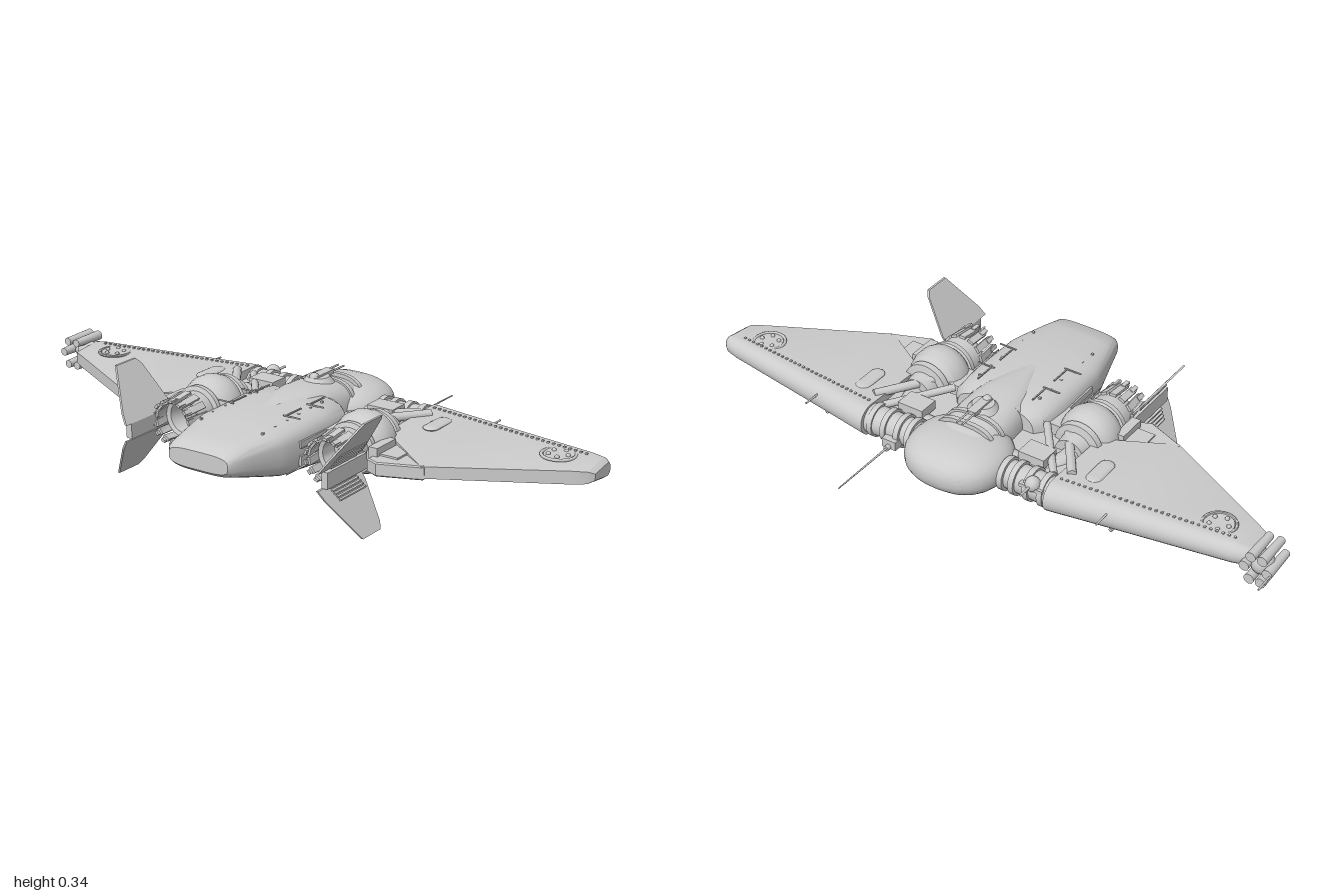
import * as THREE from 'three';
import { toCreasedNormals, mergeGeometries } from 'three/addons/utils/BufferGeometryUtils.js';

const V = (x, y, z) => new THREE.Vector3(x, y, z);
const material = new THREE.MeshStandardMaterial({ color: 0xcccccc, side: THREE.DoubleSide });

// closed skin through equal-sized rings, wound outward
function loft(rings, crease = 0.6) {
  const n = rings[0].length, pts = rings.flat(), idx = [];
  rings.slice(1).forEach((_, r) => {
    for (let i = 0; i < n; i++) {
      const a = r * n + i, b = r * n + (i + 1) % n;
      idx.push(a, b, a + n, b, b + n, a + n);
    }
  });
  [0, rings.length - 1].forEach((r, end) => {
    const c = V(0, 0, 0);
    rings[r].forEach(p => c.addScaledVector(p, 1 / n));
    pts.push(c);
    for (let i = 0; i < n; i++) {
      const a = r * n + i, b = r * n + (i + 1) % n;
      idx.push(pts.length - 1, end ? a : b, end ? b : a);
    }
  });
  let volume = 0;
  for (let i = 0; i < idx.length; i += 3) volume += pts[idx[i]].dot(V(0, 0, 0).crossVectors(pts[idx[i + 1]], pts[idx[i + 2]]));
  if (volume < 0) idx.reverse();
  const g = new THREE.BufferGeometry().setFromPoints(pts);
  g.setIndex(idx);
  return toCreasedNormals(g, crease);
}

// superellipse cross-section across z
function section([z, hw, top, bot], e = 3, n = 40) {
  const pow = v => Math.sign(v) * Math.abs(v) ** (2 / e);
  return Array.from({ length: n }, (_, i) => {
    const a = i / n * Math.PI * 2;
    return V(hw * pow(Math.cos(a)), (top + bot) / 2 + (top - bot) / 2 * pow(Math.sin(a)), z);
  });
}

// wing cross-section: round nose, flat skins, thin tail
function wingRing([x, z0, z1, h, y, t]) {
  const ring = [];
  for (let k = 0; k <= 10; k++) {
    const a = Math.PI / 2 + k * Math.PI / 10;
    ring.push(V(x, y + h * Math.sin(a), z0 + h + h * Math.cos(a)));
  }
  ring.push(V(x, y - t, z1), V(x, y + t, z1));
  return ring;
}

function rod(p, q, r, r2 = r, n = 14) {
  const a = V(...p), d = V(...q).sub(a), g = new THREE.CylinderGeometry(r2, r, d.length(), n);
  g.applyQuaternion(new THREE.Quaternion().setFromUnitVectors(V(0, 1, 0), d.clone().normalize()));
  return g.translate(...a.addScaledVector(d, 0.5).toArray());
}
const box = (w, h, d, x, y, z) => new THREE.BoxGeometry(w, h, d).translate(x, y, z);
const ball = (r, x, y, z) => new THREE.SphereGeometry(r, 20, 14).translate(x, y, z);
const latheZ = pts => toCreasedNormals(
  new THREE.LatheGeometry(pts.map(p => new THREE.Vector2(...p)), 32).rotateX(Math.PI / 2), 0.5);
const plain = g => { const f = g.index ? g.toNonIndexed() : g; f.deleteAttribute('uv'); return f; };
const join = list => mergeGeometries(list.map(plain));

// flat outline in x,z with thickness in y
function plate(outline, y, thick, bevel = 0.004) {
  const s = new THREE.Shape(outline.map(([x, z]) => new THREE.Vector2(x, -z)));
  return new THREE.ExtrudeGeometry(s, { depth: thick, bevelThickness: bevel, bevelSize: bevel, bevelSegments: 1 })
    .rotateX(-Math.PI / 2).translate(0, y, 0);
}

// reflected copy with corrected winding
function mirror(geo) {
  const g = plain(geo.clone()).scale(-1, 1, 1);
  for (const a of [g.attributes.position, g.attributes.normal]) {
    for (let i = 0; i < a.count; i += 3) {
      const p = V().fromBufferAttribute(a, i + 1), q = V().fromBufferAttribute(a, i + 2);
      a.setXYZ(i + 1, q.x, q.y, q.z);
      a.setXYZ(i + 2, p.x, p.y, p.z);
    }
  }
  g.computeVertexNormals();
  return toCreasedNormals(g, 0.6);
}

export function createModel() {
  const model = new THREE.Group(), craft = new THREE.Group();
  craft.position.x = 0.038;
  model.add(craft);
  const add = (name, geo) => {
    const m = new THREE.Mesh(geo, material);
    m.name = name;
    craft.add(m);
  };
  const pair = (name, geo) => { add(name + 'Left', geo); add(name + 'Right', mirror(geo)); };

  // central bodies
  add('mainHull', loft([[-0.03, 0.14, 0.25, 0.09], [0, 0.165, 0.262, 0.076], [0.1, 0.172, 0.267, 0.078],
    [0.29, 0.168, 0.262, 0.098], [0.33, 0.16, 0.258, 0.108], [0.43, 0.133, 0.247, 0.135],
    [0.495, 0.116, 0.235, 0.155], [0.51, 0.105, 0.222, 0.167]].map(s => section(s, 3.6))));
  add('neck', loft([[-0.24, 0.085, 0.245, 0.1], [-0.19, 0.1, 0.258, 0.09], [-0.08, 0.105, 0.272, 0.072],
    [0, 0.1, 0.278, 0.07], [0.05, 0.09, 0.276, 0.08], [0.12, 0.06, 0.272, 0.1], [0.21, 0.015, 0.262, 0.12]].map(s => section(s, 3))));
  const dome = [];
  for (let i = 0; i <= 14; i++) {
    const c = Math.cos(i / 14 * Math.PI), k = Math.max(0.02, (1 - Math.abs(c) ** 2.3) ** (1 / 2.3));
    dome.push(section([-0.215 - 0.15 * c, 0.166 * k, 0.172 + 0.08 * k, 0.172 - 0.08 * k], 2.4));
  }
  add('roundedCabin', loft(dome, 1));
  const bands = [-0.19, -0.14, -0.03].map(z => loft([z, z + 0.015].map(v => section([v, 0.108, 0.272, 0.074], 3))));
  add('neckBands', join(bands));

  // hull seams, side rails and hatches
  const seams = [];
  for (const z of [0.06, 0.18]) seams.push(box(0.004, 0.004, 0.07, 0.1, 0.267, z), box(0.06, 0.004, 0.004, 0.12, 0.266, z + 0.04));
  for (let i = 0; i < 6; i++) seams.push(box(0.007, 0.006, 0.007, 0.11, 0.262 - i * 0.002, 0.05 + i * 0.06));
  seams.push(box(0.008, 0.03, 0.22, 0.171, 0.15, 0.14), box(0.008, 0.02, 0.2, 0.17, 0.2, 0.15));
  pair('hullDetail', join(seams));

  // top turret
  add('topTurret', join([rod([0, 0.265, -0.09], [0, 0.285, -0.09], 0.05, 0.035, 24), ball(0.016, 0, 0.283, -0.07),
    box(0.03, 0.014, 0.09, 0, 0.284, -0.11), ...[-0.01, 0.01].map(x => rod([x, 0.284, -0.1], [x, 0.284, -0.215], 0.003))]));
  add('bellyTurret', join([rod([0, 0.085, -0.06], [0, 0.068, -0.06], 0.06, 0.045, 24), box(0.06, 0.02, 0.1, 0, 0.085, -0.14)]));

  // wings
  pair('wing', loft([[0.33, -0.27, 0.035, 0.052, 0.168, 0.042], [0.53, -0.24, 0.17, 0.046, 0.17, 0.018],
    [0.9, -0.187, -0.03, 0.036, 0.174, 0.02], [0.94, -0.178, -0.052, 0.031, 0.175, 0.018],
    [0.955, -0.165, -0.07, 0.02, 0.175, 0.01]].map(wingRing), 0.5));
  pair('wingFlap', plate([[0.375, 0.05], [0.51, 0.06], [0.535, 0.165], [0.41, 0.215], [0.375, 0.2]], 0.15, 0.035));
  const trim = [];
  for (let i = 0; i < 30; i++) {
    const t = i / 29;
    trim.push(box(0.007, 0.006, 0.007, 0.35 + t * 0.54, 0.2195 - t * 0.01, -0.2 + t * 0.06));
  }
  for (const s of [1, -1]) {
    trim.push(new THREE.TorusGeometry(0.05, 0.005, 8, 28).rotateX(Math.PI / 2).translate(0.82, 0.172 + s * 0.032, -0.105));
    trim.push(rod([0.82, 0.172 - 0.033, -0.105], [0.82, 0.172 + 0.033, -0.105], 0.044, 0.044, 24));
    for (let i = 0; i < 5; i++) trim.push(ball(0.007, 0.82 + 0.03 * Math.cos(i * 1.257), 0.172 + s * 0.034, -0.105 + 0.03 * Math.sin(i * 1.257)));
  }
  pair('wingFittings', join(trim));
  pair('wingHatch', new THREE.CapsuleGeometry(0.025, 0.07, 6, 16).rotateX(Math.PI / 2).scale(1, 0.3, 1).translate(0.42, 0.212, -0.1));

  // wing root spar, web and braces
  pair('wingSpar', join([rod([0.06, 0.165, -0.2], [0.35, 0.167, -0.21], 0.043, 0.048, 24),
    ...[0.16, 0.2, 0.25, 0.3].map(x => rod([x, 0.166, -0.206], [x + 0.018, 0.166, -0.206], 0.054, 0.054, 24))]));
  pair('rootWeb', plate([[0.08, -0.2], [0.34, -0.21], [0.34, -0.1], [0.25, 0], [0.1, 0.01]], 0.145, 0.04));
  pair('rootBraces', join([rod([0.36, 0.215, -0.16], [0.24, 0.22, 0.01], 0.014), rod([0.31, 0.205, -0.18], [0.17, 0.22, 0], 0.012),
    rod([0.34, 0.12, -0.17], [0.2, 0.11, 0.01], 0.013), box(0.09, 0.03, 0.07, 0.22, 0.21, -0.13), box(0.08, 0.03, 0.1, 0.22, 0.115, -0.12)]));
  const pipe = new THREE.CatmullRomCurve3([V(0.28, 0.18, 0.02), V(0.28, 0.175, -0.08), V(0.23, 0.17, -0.14), V(0.1, 0.17, -0.15)]);
  pair('feedPipe', new THREE.TubeGeometry(pipe, 24, 0.032, 16));

  // engines with nozzle petals
  const ex = 0.279, ey = 0.182;
  const at = g => g.translate(ex, ey, 0);
  pair('engine', at(latheZ([[0, -0.05], [0.05, -0.05], [0.055, -0.01], [0.078, -0.005], [0.08, 0.015], [0.072, 0.02],
    [0.088, 0.035], [0.096, 0.06], [0.096, 0.09], [0.088, 0.115], [0.074, 0.13], [0.08, 0.135], [0.08, 0.15],
    [0.066, 0.155], [0.07, 0.21], [0.062, 0.225], [0.05, 0.22], [0.046, 0.165], [0.02, 0.165], [0.012, 0.2], [0, 0.205]])));
  const petals = [];
  for (let i = 0; i < 14; i++) {
    petals.push(box(0.022, 0.01, 0.08, 0, 0, 0).rotateX(0.12).translate(0, 0.067, 0.235).rotateZ(i / 14 * Math.PI * 2));
    petals.push(box(0.014, 0.008, 0.03, 0, 0.068, 0.27).rotateZ(i / 14 * Math.PI * 2));
  }
  pair('nozzlePetals', at(join(petals)));
  pair('engineMount', join([box(0.11, 0.06, 0.1, 0.2, 0.18, 0.07), box(0.12, 0.045, 0.13, 0.39, 0.172, 0.1),
    box(0.03, 0.07, 0.1, 0.375, 0.18, 0.13)]));

  // canted fins
  const fin = new THREE.ExtrudeGeometry(new THREE.Shape([[0.415, 0.2], [0.405, 0.23], [0.335, 0.347], [0.245, 0.347], [0.23, 0.33], [0.2, 0.225],
    [0.2, 0.2]].map(p => new THREE.Vector2(...p))), { depth: 0.007, bevelEnabled: false });
  // extruded z,y outline turned sideways, then leaned outward with height
  fin.rotateY(-Math.PI / 2);
  const fp = fin.attributes.position;
  for (let i = 0; i < fp.count; i++) fp.setX(i, fp.getX(i) + 0.347 + (fp.getY(i) - 0.2) * 0.68);
  fin.computeVertexNormals();
  pair('upperFin', fin);
  pair('lowerFin', fin.clone().rotateZ(0).applyMatrix4(new THREE.Matrix4().makeRotationZ(Math.PI))
    .translate(0, 0.35, 0).applyMatrix4(new THREE.Matrix4().makeTranslation(0, 0, 0)).scale(1, 1, 1));
  const louvres = [];
  for (let i = 0; i < 5; i++) for (const s of [1, -1])
    louvres.push(box(0.008, 0.005, 0.13, 0.352 + i * 0.006, 0.176 + s * (0.03 + i * 0.009), 0.3 - i * 0.004));
  louvres.push(box(0.02, 0.05, 0.2, 0.352, 0.176, 0.29));
  pair('finRoot', join(louvres));

  // needles, under-wing guns and leading-edge probes
  pair('needles', join([rod([0.2, 0.15, 0.08], [0.2, 0.15, 0.36], 0.005, 0.002), rod([0.19, 0.2, 0.08], [0.19, 0.2, 0.27], 0.004, 0.002)]));
  pair('underWingGun', join([ball(0.016, 0.52, 0.108, -0.1), rod([0.52, 0.14, -0.1], [0.52, 0.1, -0.1], 0.008),
    rod([0.52, 0.105, -0.04], [0.52, 0.105, -0.2], 0.006), rod([0.525, 0.19, -0.2], [0.525, 0.19, -0.29], 0.003)]));
  add('longProbe', join([rod([0.222, 0.142, -0.2], [0.222, 0.142, -0.52], 0.004, 0.002), rod([0.222, 0.142, -0.2], [0.222, 0.142, -0.29], 0.009),
    box(0.05, 0.03, 0.05, 0.222, 0.15, -0.25)]));
  add('sideTurret', join([ball(0.024, -0.28, 0.2, -0.245), rod([-0.28, 0.2, -0.24], [-0.28, 0.2, -0.31], 0.004), box(0.08, 0.012, 0.02, -0.28, 0.19, -0.25)]));

  // wing-tip gun cluster on one side
  const cluster = [ball(0.036, -0.985, 0.172, -0.15), rod([-0.9, 0.174, -0.14], [-0.985, 0.174, -0.14], 0.03),
    rod([-1.03, 0.17, -0.16], [-1.03, 0.17, -0.26], 0.003)];
  for (let i = 0; i < 6; i++) {
    const a = i / 6 * Math.PI * 2, x = -0.985 + 0.036 * Math.cos(a), y = 0.172 + 0.045 * Math.sin(a);
    cluster.push(rod([x, y, -0.195], [x, y, -0.08], 0.016, 0.013));
  }
  add('tipGunCluster', join(cluster));
  return model;
}
